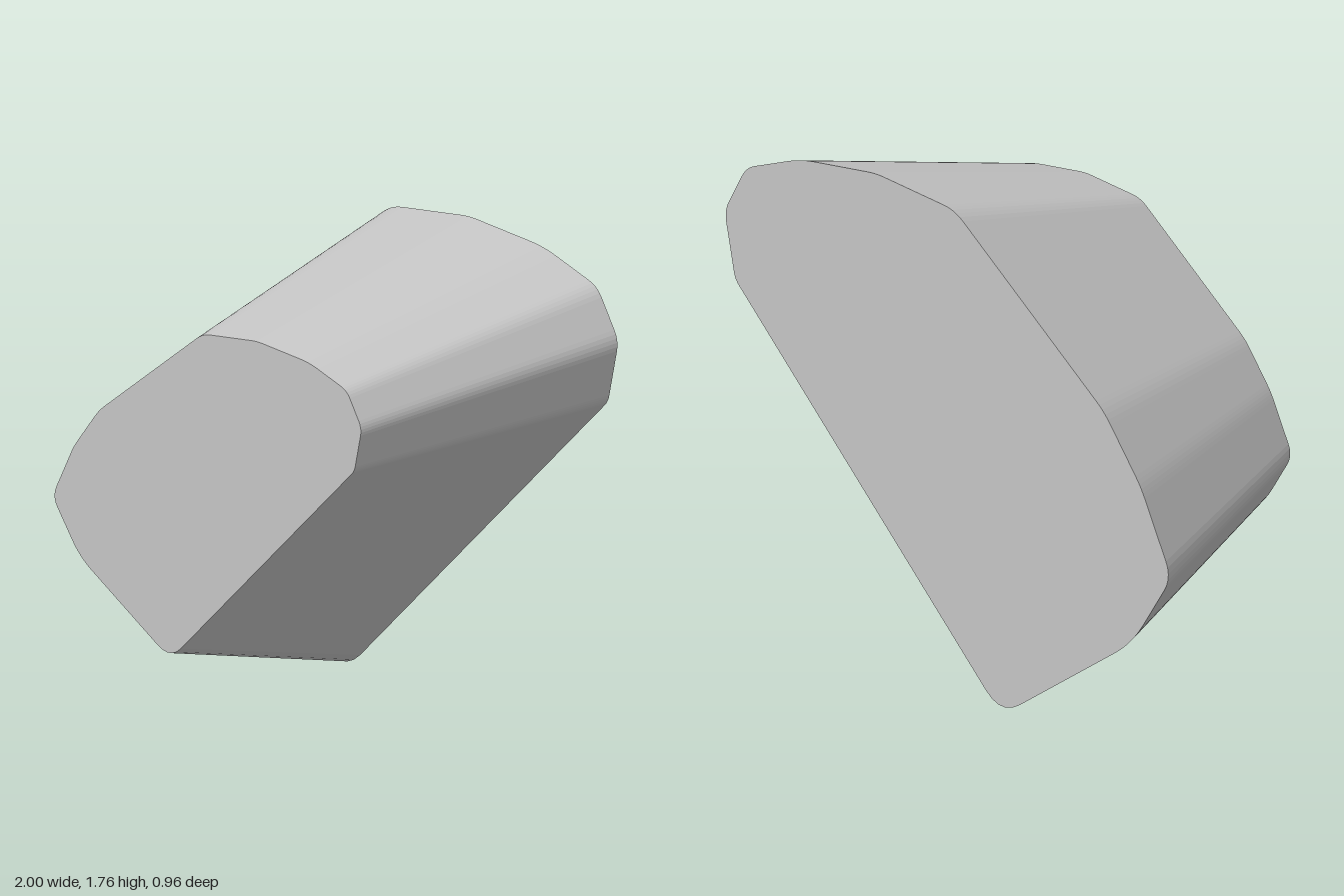
import * as THREE from 'three';

// Outline corners of the wide back end: x, y and how far the rounding reaches
const CORNERS = [
  [-0.245, -0.027, 0.1], [0.955, 1.26, 0.025], [1.003, 1.492, 0.04], [0.905, 1.663, 0.04],
  [0.66, 1.742, 0.06], [0.32, 1.762, 0.04], [-0.035, 1.706, 0.05], [-0.71, 1.135, 0.05],
  [-0.875, 0.905, 0.04], [-1.014, 0.612, 0.06], [-0.835, 0.345, 0.09],
];
const DEPTH = 0.96;
const TAPER = 0.7; // size of the front end against the back end

function roundedOutline(corners) {
  const pts = corners.map(([x, y]) => new THREE.Vector2(x, y));
  const shape = new THREE.Shape();
  pts.forEach((p, i) => {
    const trim = corners[i][2];
    const toward = (q) => p.clone().add(q.clone().sub(p).setLength(trim));
    const a = toward(pts[(i + pts.length - 1) % pts.length]);
    const b = toward(pts[(i + 1) % pts.length]);
    if (i === 0) shape.moveTo(a.x, a.y);
    else shape.lineTo(a.x, a.y);
    shape.quadraticCurveTo(p.x, p.y, b.x, b.y);
  });
  shape.closePath();
  return shape;
}

export function createModel() {
  const group = new THREE.Group();
  group.name = 'taperedBlock';
  const grey = new THREE.MeshStandardMaterial({ color: 0xc4c4c4 });
  grey.name = 'light grey';

  // Straight prism, then shrink the front end toward its own centre
  const geometry = new THREE.ExtrudeGeometry(roundedOutline(CORNERS), {
    depth: DEPTH, bevelEnabled: false, curveSegments: 5,
  });
  const pos = geometry.attributes.position;
  for (let i = 0; i < pos.count; i++) {
    const t = pos.getZ(i) / DEPTH;
    const s = 1 + (TAPER - 1) * t;
    pos.setXYZ(i, pos.getX(i) * s + 0.01 * t, pos.getY(i) * s + 0.33 * t, pos.getZ(i) - DEPTH / 2);
  }
  geometry.computeVertexNormals();

  const body = new THREE.Mesh(geometry, grey);
  body.name = 'body';
  group.add(body);
  return group;
}
